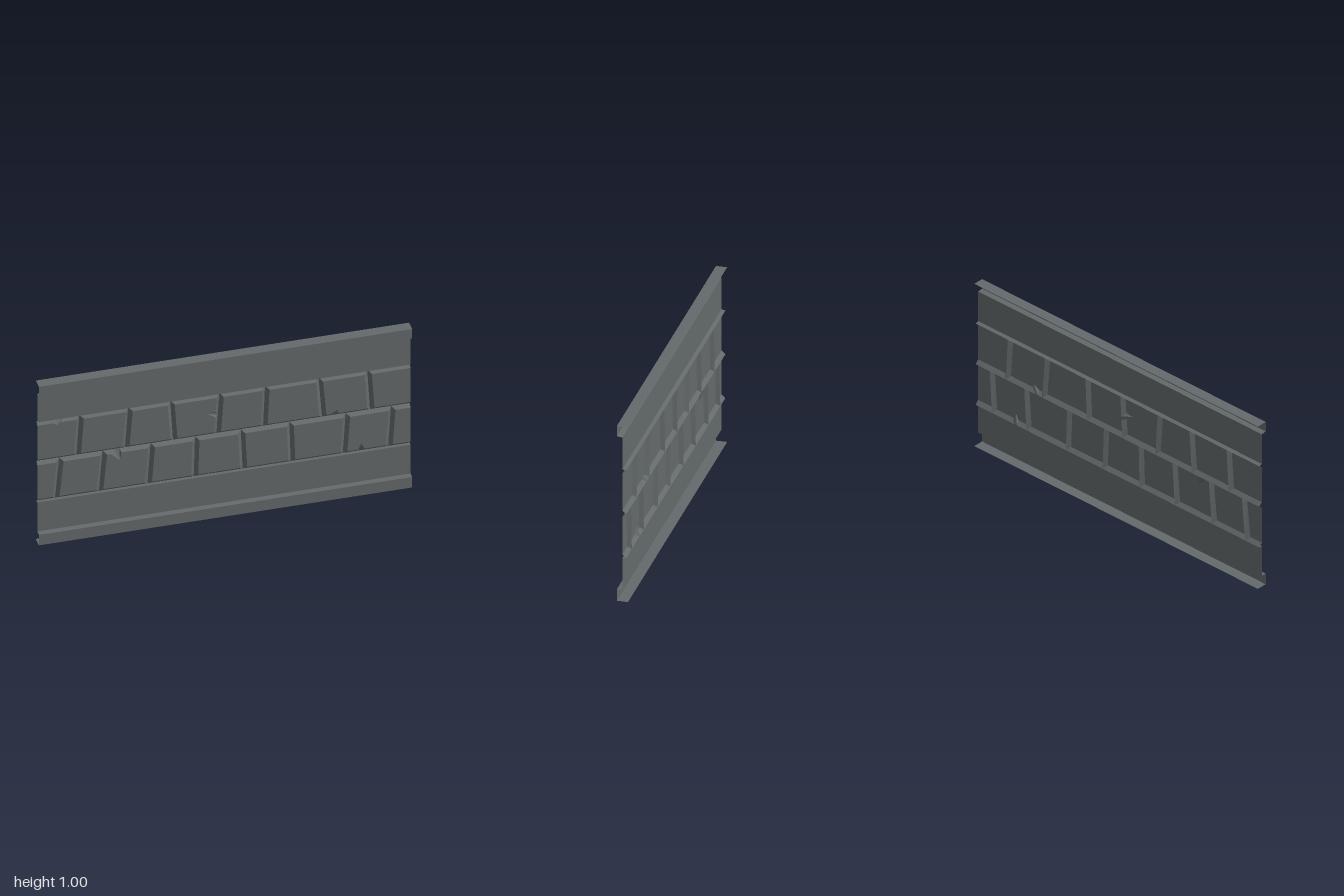
import * as THREE from 'three';

const material = new THREE.MeshStandardMaterial({ color: 0x64696b, flatShading: true, side: THREE.DoubleSide });
const DEPTH = 0.02; // how far the joints sink behind the face

function makeMesh(name, positions) {
  const geometry = new THREE.BufferGeometry();
  geometry.setAttribute('position', new THREE.Float32BufferAttribute(positions, 3));
  geometry.computeVertexNormals();
  const mesh = new THREE.Mesh(geometry, material);
  mesh.name = name;
  return mesh;
}

// Sheet running the full width, following a [y, z] profile from top to bottom
function sheet(name, profile) {
  const p = [];
  for (let i = 0; i < profile.length - 1; i++) {
    const [y0, z0] = profile[i], [y1, z1] = profile[i + 1];
    p.push(-1, y0, z0, -1, y1, z1, 1, y1, z1, -1, y0, z0, 1, y1, z1, 1, y0, z0);
  }
  return makeMesh(name, p);
}

// Bevelled block without a back. The joints are { top, bottom } x positions.
// Chips are { side, t, w, d, skew }: a nick cut d deep into one edge of the face.
function block(name, left, right, y0, y1, chips) {
  const V = (x, y) => new THREE.Vector2(x, y);
  const inL = left.top === -1 ? 0 : 0.019, inR = right.top === 1 ? 0 : 0.019;
  const base = [V(left.bottom, y0), V(right.bottom, y0), V(right.top, y1), V(left.top, y1)];
  const face = [
    V(left.bottom + inL, y0 + 0.02), V(right.bottom - inR, y0 + 0.02),
    V(right.top - inR, y1 - 0.016), V(left.top + inL, y1 - 0.016),
  ];
  const inner = [], outer = [], open = [];
  for (let s = 0; s < 4; s++) {
    const n = (s + 1) % 4;
    const add = (t, d, skew = 0) => {
      const along = face[n].clone().sub(face[s]).normalize();
      const inward = V(-along.y, along.x);
      inner.push(face[s].clone().lerp(face[n], t).addScaledVector(inward, d).addScaledVector(along, skew));
      outer.push(base[s].clone().lerp(base[n], t));
      open.push((s === 1 && inR === 0) || (s === 3 && inL === 0));
    };
    add(0, 0);
    for (const c of chips.filter((chip) => chip.side === s)) {
      add(c.t - c.w, 0);
      add(c.t, c.d, c.skew);
      add(c.t + c.w, 0);
    }
  }
  const p = [];
  const front = (v) => p.push(v.x, v.y, 0);
  const back = (v) => p.push(v.x, v.y, -DEPTH);
  // Flat face
  for (const tri of THREE.ShapeUtils.triangulateShape(inner, [])) tri.forEach((i) => front(inner[i]));
  // Sloped edges, left open where the panel is cut off
  for (let i = 0; i < inner.length; i++) {
    if (open[i]) continue;
    const j = (i + 1) % inner.length;
    back(outer[i]); back(outer[j]); front(inner[j]);
    back(outer[i]); front(inner[j]); front(inner[i]);
  }
  return makeMesh(name, p);
}

// A course of blocks split at the given [top, bottom] joint positions
function course(name, y0, y1, joints, chips) {
  const row = new THREE.Group();
  row.name = name;
  const ends = [[-1, -1], ...joints, [1, 1]].map(([top, bottom]) => ({ top, bottom }));
  for (let i = 0; i < ends.length - 1; i++) {
    row.add(block('block', ends[i], ends[i + 1], y0, y1, chips[i] || []));
  }
  return row;
}

export function createModel() {
  const model = new THREE.Group();
  model.name = 'wallPanel';

  // Plain bands with projecting rails at the top and bottom
  model.add(sheet('upperBand', [
    [1, -0.03], [1, 0.03], [0.942, 0.03], [0.938, 0], [0.756, 0], [0.75, -DEPTH],
  ]));
  model.add(sheet('lowerBand', [
    [0.25, -DEPTH], [0.25, 0], [0.068, 0], [0.066, 0.03], [0, 0.03], [0, -0.03],
  ]));

  // Two staggered courses of stone (sides: 0 bottom, 1 right, 2 top, 3 left)
  model.add(course('upperCourse', 0.5, 0.75, [
    [-0.77, -0.785], [-0.508, -0.525], [-0.283, -0.268], [-0.02, -0.035],
    [0.225, 0.215], [0.512, 0.53], [0.773, 0.787],
  ], {
    0: [{ side: 2, t: 0.5, w: 0.1, d: 0.015 }],
    3: [{ side: 1, t: 0.52, w: 0.08, d: 0.045, skew: 0.01 }],
    6: [{ side: 0, t: 0.2, w: 0.1, d: 0.022, skew: 0.015 }],
  }));
  model.add(course('lowerCourse', 0.25, 0.5, [
    [-0.878, -0.9], [-0.645, -0.665], [-0.388, -0.405], [-0.15, -0.157],
    [0.095, 0.105], [0.355, 0.363], [0.657, 0.642], [0.9, 0.885],
  ], {
    2: [{ side: 2, t: 0.78, w: 0.13, d: 0.045, skew: -0.02 }],
    7: [{ side: 0, t: 0.36, w: 0.09, d: 0.036 }],
  }));
  return model;
}
